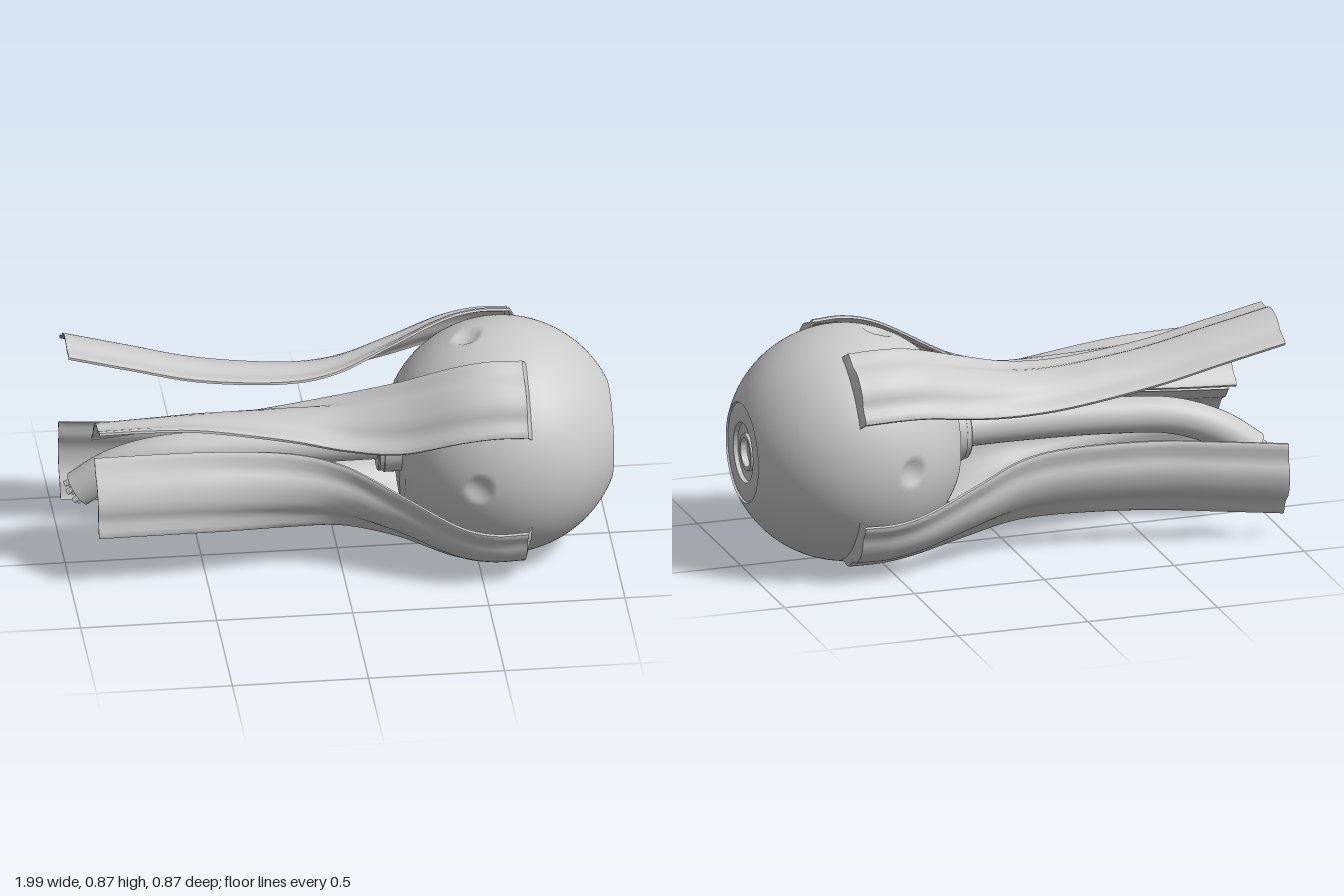
import * as THREE from 'three';
import { toCreasedNormals } from 'three/addons/utils/BufferGeometryUtils.js';

const R = 0.436, CX = 0.602, CY = 0.437;
const material = new THREE.MeshStandardMaterial({ color: 0xcccccc, side: THREE.DoubleSide });

function mesh(name, geometry) {
  const m = new THREE.Mesh(geometry, material);
  m.name = name;
  return m;
}

// Turned part around the x axis; points are [x, radius]
function turned(points, segments) {
  const g = new THREE.LatheGeometry(points.map(([x, r]) => new THREE.Vector2(r, x)), segments);
  return g.rotateZ(-Math.PI / 2);
}

// Ball with a flat rear, an eye recess at +x and four round dimples
function ballGeometry() {
  const points = [[0.227, 0]];
  const start = Math.acos((CX - 0.227) / R), end = Math.PI - Math.asin(0.186 / R);
  for (let i = 0; i <= 90; i++) {
    const a = start + ((end - start) * i) / 90;
    points.push([CX - R * Math.cos(a), R * Math.sin(a)]);
  }
  // step, flat face, shallow seat, ring and its hole
  points.push([0.988, 0.183], [0.99, 0.18], [0.992, 0.112], [0.976, 0.109], [0.972, 0.07],
    [0.984, 0.068], [0.984, 0.054], [0.96, 0.052], [0.96, 0]);
  const g = turned(points, 192);
  const pos = g.attributes.position;
  const v = new THREE.Vector3(), d = new THREE.Vector3(), c = new THREE.Vector3(CX, 0, 0);
  const ring = Math.sqrt(R * R - 0.127 * 0.127);
  for (let i = 0; i < pos.count; i++) {
    v.fromBufferAttribute(pos, i);
    for (let k = 0; k < 4; k++) {
      d.set(0.475, ring * Math.cos(k * Math.PI / 2), ring * Math.sin(k * Math.PI / 2));
      const t = v.distanceTo(d) / 0.056;
      if (t < 1) v.addScaledVector(v.clone().sub(c).normalize(), -0.02 * (1 - t * t));
    }
    pos.setXYZ(i, v.x, v.y, v.z);
  }
  return toCreasedNormals(g, 0.75);
}

// Ribbed panel cross-section: [across, height], one half, mirrored
const half = [[0.148, 0], [0.142, 0.006], [0.125, 0.01], [0.1, 0.013], [0.082, 0.018], [0.068, 0.028], [0.05, 0.039], [0.025, 0.045]];
const top = [...half.map(([w, h]) => [-w, h]), [0, 0.046], ...half.slice().reverse()];
const section = [...top, ...top.slice().reverse().map(([w, h]) => [w * 0.99, h - 0.009])];

// Sweeps the section along stations of [x, y, z, roll in degrees]
function panelGeometry(stations) {
  const spline = (f) => new THREE.CatmullRomCurve3(stations.map(f), false, 'catmullrom', 0.5);
  const path = spline(([x, y, z]) => new THREE.Vector3(x, y, z));
  const roll = spline(([x, , , a]) => new THREE.Vector3(x, a * Math.PI / 180, 0));
  const rows = 70, n = section.length, m = top.length;
  const verts = [], index = [];
  for (let i = -1; i < rows; i++) {
    const t = Math.max(i, 0) / (rows - 1);
    const p = path.getPoint(t), a = roll.getPoint(t).y;
    const ca = Math.cos(a), sa = Math.sin(a);
    section.forEach(([w, h], j) => {
      // the first row folds down onto the ball
      const fold = Math.sqrt(0.43 * 0.43 - w * w) - 0.431 - (j < m ? 0 : 0.009);
      const rise = i < 0 ? Math.min(h, fold) : h;
      verts.push(i < 0 ? p.x + 0.016 : p.x, p.y + rise * ca - w * sa, p.z + rise * sa + w * ca);
    });
  }
  for (let i = 0; i < rows; i++) {
    for (let j = 0; j < n; j++) {
      const a = i * n + j, b = i * n + ((j + 1) % n);
      index.push(a, a + n, b, b, a + n, b + n);
    }
  }
  // end caps
  const last = rows * n;
  for (let j = 0; j < m - 1; j++) {
    const a = j, b = j + 1, c = n - 2 - j, d = n - 1 - j;
    index.push(a, b, d, b, c, d);
    index.push(last + a, last + d, last + b, last + b, last + d, last + c);
  }
  const g = new THREE.BufferGeometry();
  g.setAttribute('position', new THREE.Float32BufferAttribute(verts, 3));
  g.setIndex(index);
  return toCreasedNormals(g, 0.8);
}

const backStations = [
  [0.656, 0.305, -0.305, -45], [0.53, 0.307, -0.304, -45], [0.4, 0.293, -0.285, -42],
  [0.2, 0.243, -0.238, -34], [0, 0.203, -0.19, -24], [-0.2, 0.2, -0.175, -18],
  [-0.5, 0.238, -0.175, -14], [-0.75, 0.297, -0.188, -13], [-0.98, 0.352, -0.202, -12.8],
];
const frontStations = [
  [0.656, 0.305, 0.305, 45], [0.53, 0.307, 0.304, 45], [0.4, 0.28, 0.282, 42],
  [0.2, 0.2, 0.207, 33], [0, 0.157, 0.135, 15], [-0.2, 0.15, 0.104, -3],
  [-0.5, 0.152, 0.093, -21], [-0.7, 0.147, 0.095, -28], [-0.9, 0.14, 0.1, -31.6],
];

// Drooping cable with a cluster of pins at its end
function cable() {
  const group = new THREE.Group();
  group.name = 'cable';
  const curve = new THREE.CatmullRomCurve3([
    [0.2, 0, 0], [-0.1, 0, 0], [-0.4, -0.005, -0.015], [-0.65, -0.025, -0.035],
    [-0.82, -0.085, -0.06], [-0.945, -0.172, -0.075],
  ].map((p) => new THREE.Vector3(...p)));
  group.add(mesh('cableTube', new THREE.TubeGeometry(curve, 60, 0.067, 32)));

  const tip = new THREE.Group();
  tip.name = 'cableTip';
  tip.position.copy(curve.getPoint(1));
  tip.quaternion.setFromUnitVectors(new THREE.Vector3(0, 1, 0), curve.getTangent(1));
  tip.add(mesh('cableCap', new THREE.CylinderGeometry(0.066, 0.066, 0.01, 32).translate(0, -0.006, 0)));
  for (let i = 0; i < 7; i++) {
    const pin = mesh('pin', new THREE.CylinderGeometry(0.011, 0.011, 0.034, 12));
    const r = i === 6 ? 0 : 0.04, a = i * Math.PI / 3;
    pin.position.set(r * Math.cos(a), 0.012, r * Math.sin(a));
    tip.add(pin);
  }
  group.add(tip);
  return group;
}

export function createModel() {
  const model = new THREE.Group();
  model.name = 'ballWithPanels';
  model.position.y = CY;

  model.add(mesh('ball', ballGeometry()));

  // stepped collar where the cable enters the ball
  const collar = turned([[0.142, 0.06], [0.142, 0.105], [0.147, 0.11], [0.163, 0.11], [0.165, 0.115], [0.24, 0.115]], 48);
  model.add(mesh('collar', toCreasedNormals(collar, 0.5)));
  model.add(cable());

  // two long rear panels and two shorter front ones, each pair a quarter turn apart
  const back = panelGeometry(backStations), front = panelGeometry(frontStations);
  const lowerBack = mesh('lowerBackPanel', back);
  lowerBack.rotation.x = -Math.PI / 2;
  const lowerFront = mesh('lowerFrontPanel', front);
  lowerFront.rotation.x = Math.PI / 2;
  model.add(mesh('upperBackPanel', back), lowerBack, mesh('upperFrontPanel', front), lowerFront);

  const root = new THREE.Group();
  root.name = 'model';
  root.add(model);
  return root;
}
